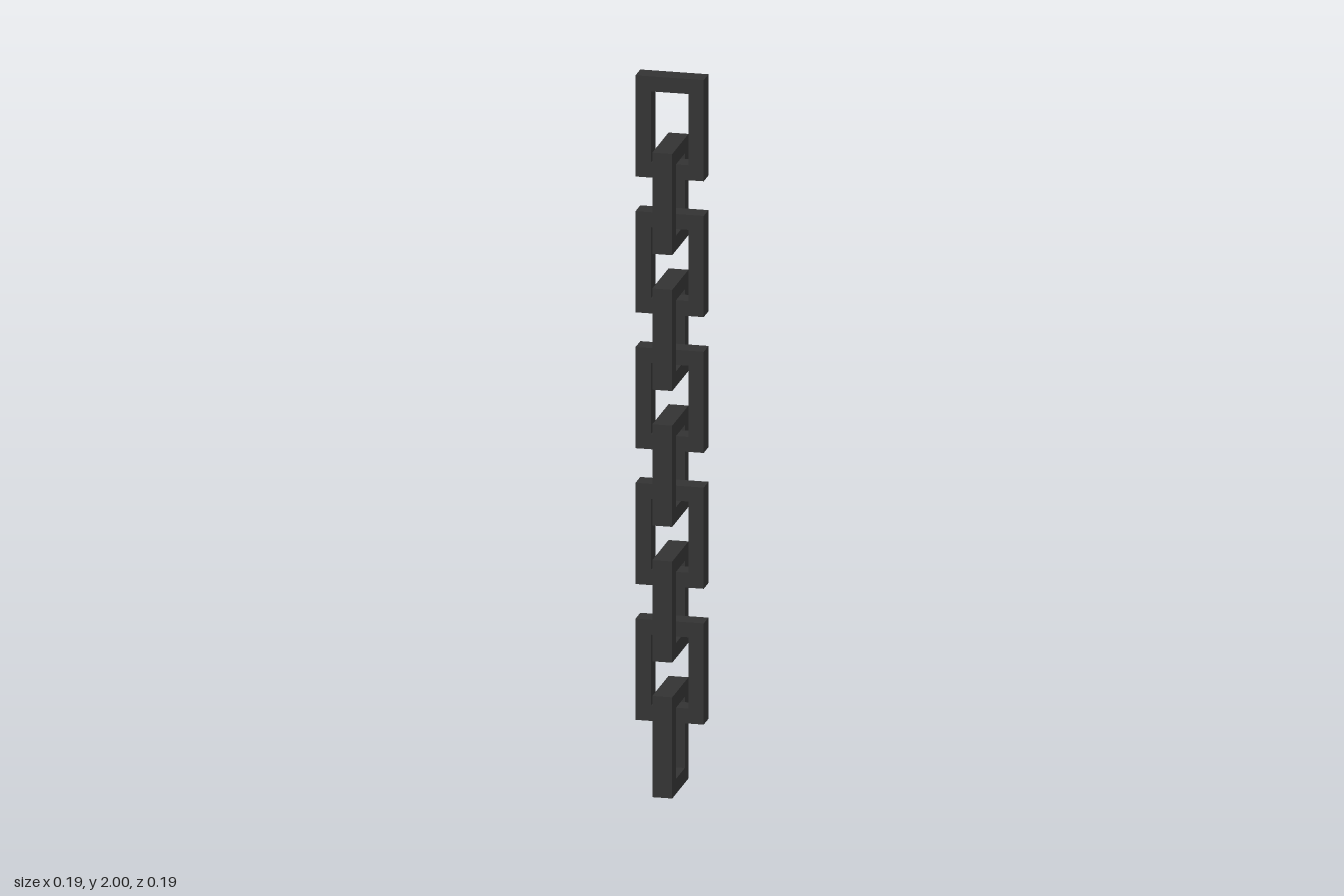
import * as THREE from 'three';

const COUNT = 10;      // links in the chain
const WIDTH = 0.188;
const HEIGHT = 0.284;
const BAR = 0.042;     // bar thickness in the plane of the link
const DEPTH = 0.055;

// Corners of a rectangle centred on the origin
function rectangle(w, h) {
  return [[-w, -h], [w, -h], [w, h], [-w, h]].map(([x, y]) => new THREE.Vector2(x / 2, y / 2));
}

// Square-cornered link: a rectangular frame with an open middle
function linkGeometry() {
  const shape = new THREE.Shape(rectangle(WIDTH, HEIGHT));
  shape.holes.push(new THREE.Path(rectangle(WIDTH - 2 * BAR, HEIGHT - 2 * BAR).reverse()));
  const geometry = new THREE.ExtrudeGeometry(shape, { depth: DEPTH, bevelEnabled: false });
  return geometry.translate(0, 0, -DEPTH / 2);
}

export function createModel() {
  const chain = new THREE.Group();
  chain.name = 'chain';
  const geometry = linkGeometry();
  const material = new THREE.MeshStandardMaterial({ color: 0x333333 });
  const pitch = (2 - HEIGHT) / (COUNT - 1);

  // Links alternate by a quarter turn, from the bottom up
  for (let i = 0; i < COUNT; i++) {
    const link = new THREE.Mesh(geometry, material);
    const sideways = i % 2 === 0;
    link.name = `${sideways ? 'sideLink' : 'frontLink'}${i + 1}`;
    link.position.set(sideways ? -0.003 : 0, HEIGHT / 2 + i * pitch, sideways ? 0 : -0.006);
    if (sideways) link.rotation.y = Math.PI / 2;
    chain.add(link);
  }
  return chain;
}
